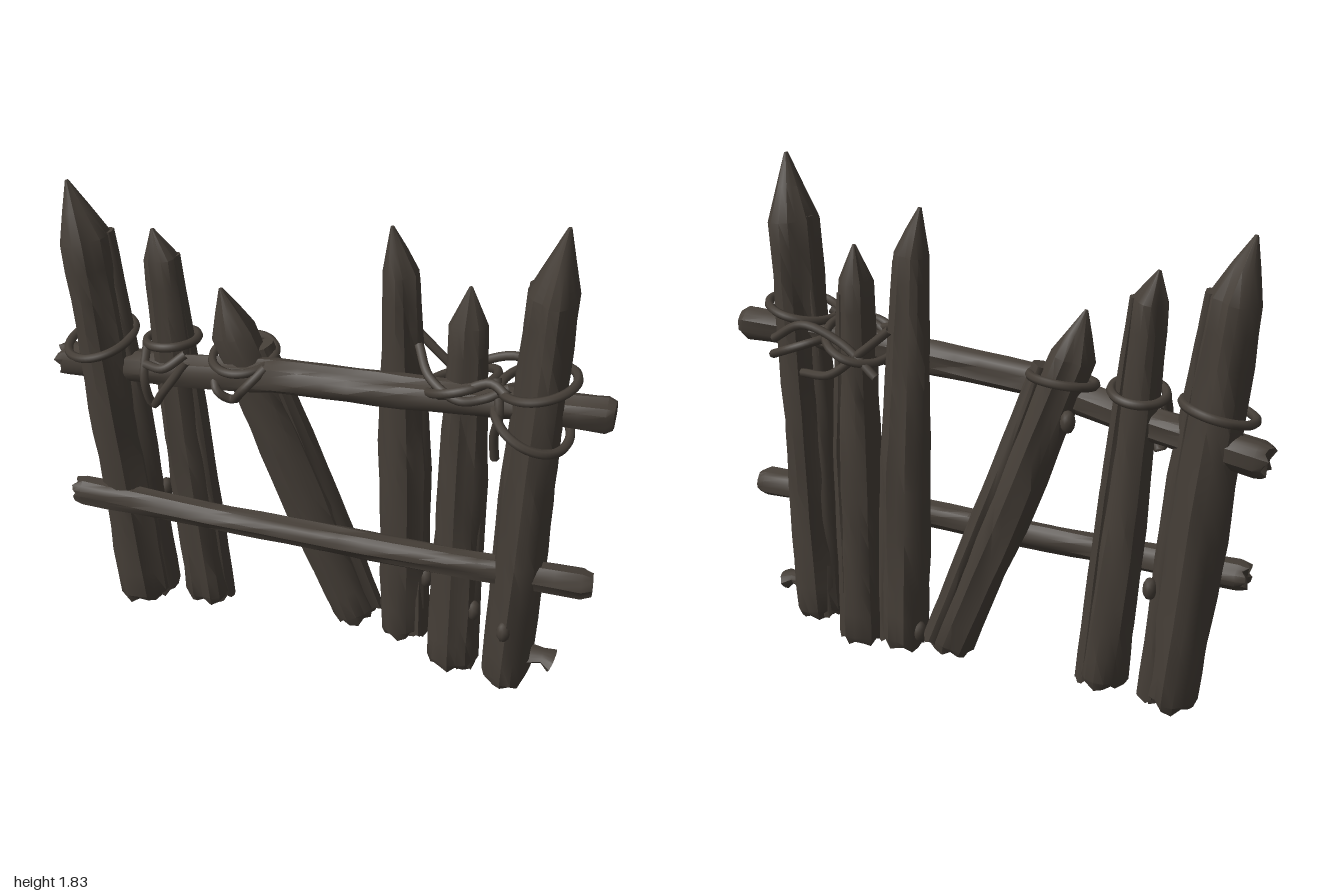
import * as THREE from 'three';
import { toCreasedNormals } from 'three/addons/utils/BufferGeometryUtils.js';

const wood = new THREE.MeshStandardMaterial({ color: 0x453e37 });
wood.name = 'dark weathered wood';

const SIDES = 16;

// Rough log lofted along [x, y, z, radius] stations; depth scales the radius across z
function logGeometry(stations, seed, depth = 1) {
  const rows = [];
  for (let i = 0; i < stations.length - 1; i++) {
    const a = stations[i], b = stations[i + 1];
    const n = Math.max(1, Math.round(Math.hypot(b[0] - a[0], b[1] - a[1], b[2] - a[2]) / 0.1));
    for (let k = 0; k < n; k++) rows.push(a.map((v, c) => v + (b[c] - v) * k / n));
  }
  rows.push(stations[stations.length - 1]);
  const at = (i) => new THREE.Vector3(...rows[i].slice(0, 3));
  const pos = [], index = [];
  const last = rows.length - 1;
  const grooves = [0, 1, 2].map((g) => Math.floor(seed * 3.7 + g * 5.3) % SIDES);
  rows.forEach((row, i) => {
    const p = at(i);
    const t = at(Math.min(i + 1, last)).sub(at(Math.max(i - 1, 0))).normalize();
    const u = new THREE.Vector3(t.y, -t.x, 0).normalize();
    const v = new THREE.Vector3().crossVectors(t, u);
    for (let j = 0; j < SIDES; j++) {
      const a = j / SIDES * Math.PI * 2;
      let r = row[3] * (1 + 0.05 * Math.sin(3 * a + seed * 2 + i * 0.35)
        + 0.035 * Math.sin(5 * a - seed + i * 0.9) + 0.02 * Math.sin(i * 2.3 + seed + j * 1.9));
      if (grooves.includes(j)) r *= 0.87;
      const q = p.clone().addScaledVector(u, Math.cos(a) * r).addScaledVector(v, Math.sin(a) * r * depth);
      // ragged sawn end
      if (i === 0) q.addScaledVector(t, 0.012 * Math.sin(j * 2.1 + seed));
      pos.push(q.x, q.y, q.z);
    }
  });
  for (let i = 0; i < last; i++) {
    for (let j = 0; j < SIDES; j++) {
      const k = (j + 1) % SIDES, a = i * SIDES, b = a + SIDES;
      index.push(a + j, a + k, b + j, a + k, b + k, b + j);
    }
  }
  // end caps
  const c0 = pos.length / 3, c1 = c0 + 1, top = last * SIDES;
  pos.push(...rows[0].slice(0, 3), ...rows[last].slice(0, 3));
  for (let j = 0; j < SIDES; j++) {
    const k = (j + 1) % SIDES;
    index.push(c0, k, j, c1, top + j, top + k);
  }
  const g = new THREE.BufferGeometry();
  g.setAttribute('position', new THREE.Float32BufferAttribute(pos, 3));
  g.setIndex(index);
  return toCreasedNormals(g, 0.6);
}

export function createModel() {
  const model = new THREE.Group();
  model.name = 'palisadeFence';
  const add = (name, geometry) => {
    const m = new THREE.Mesh(geometry, wood);
    m.name = name;
    model.add(m);
  };
  const log = (name, stations, seed, depth) => add(name, logGeometry(stations, seed, depth));

  // Sharpened stakes: butt, shoulder and tip, with a bevelled butt end
  const stake = (name, butt, mid, shoulder, tip, seed, depth) => {
    const [x, y, z, r] = butt;
    log(name, [[x, y, z, r * 0.86], [x + (mid[0] - x) * 0.03, y + 0.03, z, r], mid, shoulder,
      [...tip, 0.006]], seed, depth);
  };
  stake('stakeOne', [-0.71, 0.055, -0.03, 0.1], [-0.79, 0.9, -0.03, 0.1],
    [-0.862, 1.53, -0.05, 0.085], [-0.91, 1.73, -0.05], 1, 1.15);
  stake('stakeTwo', [-0.46, 0.08, -0.05, 0.09], [-0.53, 0.8, -0.05, 0.078],
    [-0.585, 1.49, -0.06, 0.06], [-0.612, 1.59, -0.06], 2);
  stake('leaningStake', [0.12, 0.095, -0.085, 0.088], [-0.12, 0.72, -0.07, 0.09],
    [-0.315, 1.26, -0.035, 0.078], [-0.36, 1.42, -0.03], 3);
  stake('stakeFour', [0.305, 0.07, -0.09, 0.088], [0.285, 0.8, -0.085, 0.088],
    [0.25, 1.55, -0.08, 0.062], [0.22, 1.71, -0.075], 4);
  stake('stakeFive', [0.51, 0.015, -0.035, 0.088], [0.5, 0.8, -0.05, 0.085],
    [0.492, 1.42, -0.05, 0.062], [0.492, 1.55, -0.05], 5);
  stake('stakeSix', [0.722, 0.06, 0.02, 0.092], [0.745, 0.9, 0.015, 0.09],
    [0.768, 1.6, 0.015, 0.082], [0.795, 1.83, 0.025], 6, 1.3);

  // Split bark slabs standing beside the stakes
  [
    [[-0.645, 0.07, -0.05, 0.05], [-0.71, 0.9, -0.05, 0.045], [-0.79, 1.55, -0.08, 0.022]],
    [[-0.405, 0.08, -0.06, 0.04], [-0.47, 0.8, -0.06, 0.036], [-0.54, 1.5, -0.07, 0.018]],
    [[0.17, 0.13, -0.11, 0.045], [-0.06, 0.75, -0.1, 0.04], [-0.215, 1.22, -0.05, 0.03]],
    [[0.36, 0.08, -0.09, 0.045], [0.34, 0.8, -0.1, 0.04], [0.295, 1.53, -0.1, 0.018]],
    [[0.56, 0.02, -0.04, 0.045], [0.55, 0.8, -0.07, 0.04], [0.53, 1.38, -0.07, 0.02]],
    [[0.675, 0.07, 0.0, 0.045], [0.68, 0.9, 0.0, 0.035], [0.705, 1.62, 0.0, 0.02]],
  ].forEach((s, i) => log('barkSlab', s, i + 9, 1.3));

  // Cross rails
  log('upperRail', [[-1, 1.015, -0.07, 0.055], [-0.97, 1.02, -0.07, 0.063], [-0.55, 1.07, -0.03, 0.06],
    [-0.15, 1.14, 0.01, 0.06], [0.3, 1.165, 0.02, 0.06], [0.7, 1.185, 0.01, 0.055],
    [0.97, 1.195, 0, 0.062], [0.995, 1.195, 0, 0.048]], 7);
  log('lowerRail', [[-0.93, 0.535, 0.055, 0.046], [-0.9, 0.535, 0.055, 0.054], [-0.4, 0.53, 0.06, 0.048],
    [0.1, 0.53, 0.06, 0.05], [0.6, 0.54, 0.06, 0.05], [0.96, 0.54, 0.045, 0.055],
    [0.995, 0.54, 0.04, 0.04]], 8);

  // Broken twig stubs and knots
  log('twigStub', [[0.79, 0.16, 0.02, 0.03], [0.85, 0.165, 0.02, 0.022], [0.885, 0.15, 0.02, 0.034]], 3, 1.6);
  [[0.39, 0.34, -0.07], [0.585, 0.29, 0], [0.72, 0.33, 0.13], [-0.33, 1.05, -0.1], [0.23, 0.14, -0.12],
    [-0.64, 0.5, -0.1]].forEach((p, i) => {
    const g = new THREE.IcosahedronGeometry(0.032, 1);
    g.scale(0.8, 1.3, 0.9).translate(...p);
    add('woodKnot' + (i + 1), g);
  });

  // Rope lashings: closed loops [centre, radius x, radius z, slope x, slope z]
  const rope = (name, points, closed) => {
    const curve = new THREE.CatmullRomCurve3(points, closed);
    add(name, new THREE.TubeGeometry(curve, points.length * 5, 0.016, 7, closed));
  };
  [
    [[-0.825, 1.15, -0.04], 0.118, 0.13, 0.025, -0.02],
    [[-0.56, 1.18, -0.06], 0.09, 0.095, 0.01, 0.01],
    [[-0.285, 1.175, -0.04], 0.11, 0.11, 0.01, -0.02],
    [[0.48, 1.21, -0.04], 0.12, 0.14, 0.04, 0.03],
    [[0.745, 1.28, 0.015], 0.122, 0.13, 0.025, 0],
    [[0.735, 1.14, 0.02], 0.125, 0.145, -0.05, -0.02],
  ].forEach(([c, rx, rz, sx, sz]) => {
    const pts = Array.from({ length: 12 }, (_, i) => {
      const a = i / 12 * Math.PI * 2, co = Math.cos(a), si = Math.sin(a);
      return new THREE.Vector3(c[0] + rx * co, c[1] + sx * co + sz * si, c[2] + rz * si);
    });
    rope('ropeLoop', pts, true);
  });

  // Loose rope strands
  [
    [[-0.64, 1.17, -0.02], [-0.63, 1.06, 0.045], [-0.61, 0.95, 0.03], [-0.56, 1.02, 0.05], [-0.48, 1.14, 0.02]],
    [[-0.63, 1.11, 0.03], [-0.55, 1.12, 0.055], [-0.48, 1.17, 0.02]],
    [[-0.39, 1.14, -0.03], [-0.35, 1.07, 0.06], [-0.3, 1.04, 0.05], [-0.25, 1.1, 0.08], [-0.18, 1.18, 0.04]],
    [[0.33, 1.31, -0.05], [0.39, 1.25, 0.04], [0.5, 1.21, 0.09], [0.58, 1.22, 0.07], [0.66, 1.27, 0.06]],
    [[0.37, 1.18, 0.03], [0.47, 1.22, 0.08], [0.6, 1.28, 0.07], [0.66, 1.26, 0.1]],
    [[0.61, 1.28, 0.03], [0.635, 1.18, 0.08], [0.62, 1.08, 0.06], [0.625, 0.98, 0.04]],
    [[0.36, 1.12, -0.16], [0.5, 1.22, -0.145], [0.65, 1.27, -0.15], [0.78, 1.2, -0.14]],
    [[0.3, 1.3, -0.16], [0.42, 1.2, -0.15], [0.55, 1.1, -0.15], [0.68, 1.08, -0.12]],
  ].forEach((s) => rope('ropeStrand', s.map((p) => new THREE.Vector3(...p)), false));

  return model;
}
